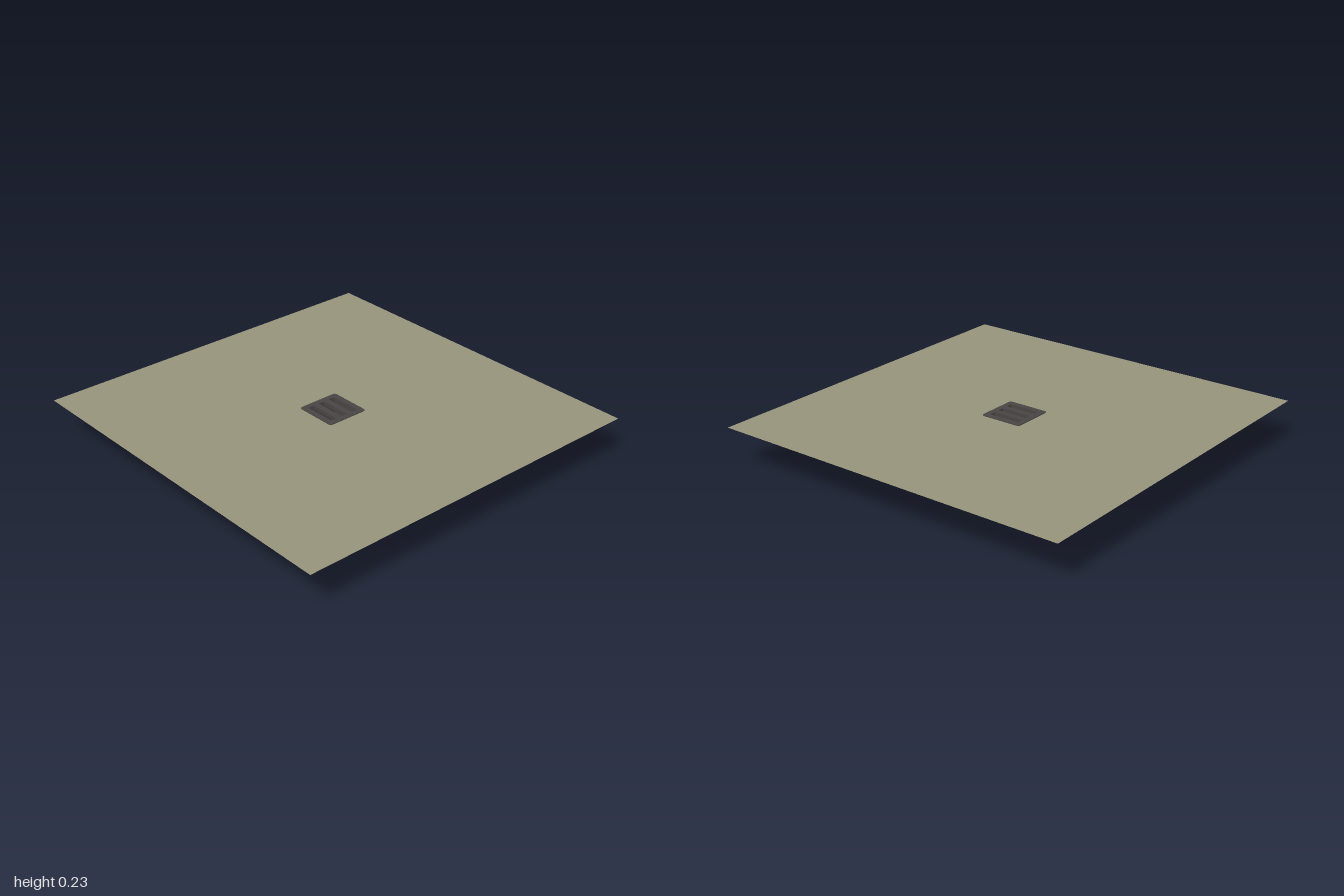
import * as THREE from 'three';

const GROUND_Y = 0.222;
const TOP_Y = 0.226;

// Rounded rectangle outline centred on (x, y)
function roundedRect(path, x, y, hw, hh, r) {
  path.moveTo(x - hw + r, y - hh);
  path.lineTo(x + hw - r, y - hh);
  path.absarc(x + hw - r, y - hh + r, r, -Math.PI / 2, 0);
  path.lineTo(x + hw, y + hh - r);
  path.absarc(x + hw - r, y + hh - r, r, 0, Math.PI / 2);
  path.lineTo(x - hw + r, y + hh);
  path.absarc(x - hw + r, y + hh - r, r, Math.PI / 2, Math.PI);
  path.lineTo(x - hw, y - hh + r);
  path.absarc(x - hw + r, y - hh + r, r, Math.PI, Math.PI * 1.5);
  return path;
}

export function createModel() {
  const model = new THREE.Group();
  const groundColour = new THREE.MeshStandardMaterial({ color: 0x95937a, side: THREE.DoubleSide });
  groundColour.name = 'olive ground';
  const ironColour = new THREE.MeshStandardMaterial({ color: 0x4a4545 });
  ironColour.name = 'dark iron';

  const add = (parent, name, geometry, material, x = 0, y = 0, z = 0) => {
    const mesh = new THREE.Mesh(geometry, material);
    mesh.name = name;
    mesh.position.set(x, y, z);
    parent.add(mesh);
    return mesh;
  };

  // Flat ground sheet with an opening for the drain
  const sheet = new THREE.Shape();
  sheet.moveTo(-1, -1).lineTo(1, -1).lineTo(1, 1).lineTo(-1, 1).closePath();
  sheet.holes.push(roundedRect(new THREE.Path(), 0, 0, 0.114, 0.114, 0.012));
  const sheetGeometry = new THREE.ShapeGeometry(sheet, 4).rotateX(-Math.PI / 2);
  add(model, 'ground', sheetGeometry, groundColour, 0, GROUND_Y);

  // Hollow catch basin below the ground
  const basin = new THREE.Group();
  basin.name = 'catchBasin';
  model.add(basin);
  const half = 0.12, wall = 0.006, wallHeight = GROUND_Y - 0.001;
  add(basin, 'basinFloor', new THREE.BoxGeometry(half * 2, wall, half * 2), ironColour, 0, wall / 2);
  for (const side of [-1, 1]) {
    const offset = side * (half - wall / 2);
    add(basin, 'basinSideWall', new THREE.BoxGeometry(wall, wallHeight, half * 2),
      ironColour, offset, wallHeight / 2, 0);
    add(basin, 'basinEndWall', new THREE.BoxGeometry(half * 2 - wall * 2, wallHeight, wall),
      ironColour, 0, wallHeight / 2, offset);
  }

  // Slotted grate with rounded corners
  const plate = roundedRect(new THREE.Shape(), 0, 0, 0.116, 0.116, 0.014);
  for (const x of [-0.067, 0, 0.067]) {
    plate.holes.push(roundedRect(new THREE.Path(), x, 0, 0.0175, 0.086, 0.004));
  }
  const depth = 0.02;
  const grate = new THREE.ExtrudeGeometry(plate, { depth, bevelEnabled: false, curveSegments: 4 });
  grate.rotateX(-Math.PI / 2);
  add(model, 'grate', grate, ironColour, 0, TOP_Y - depth, 0);

  return model;
}
